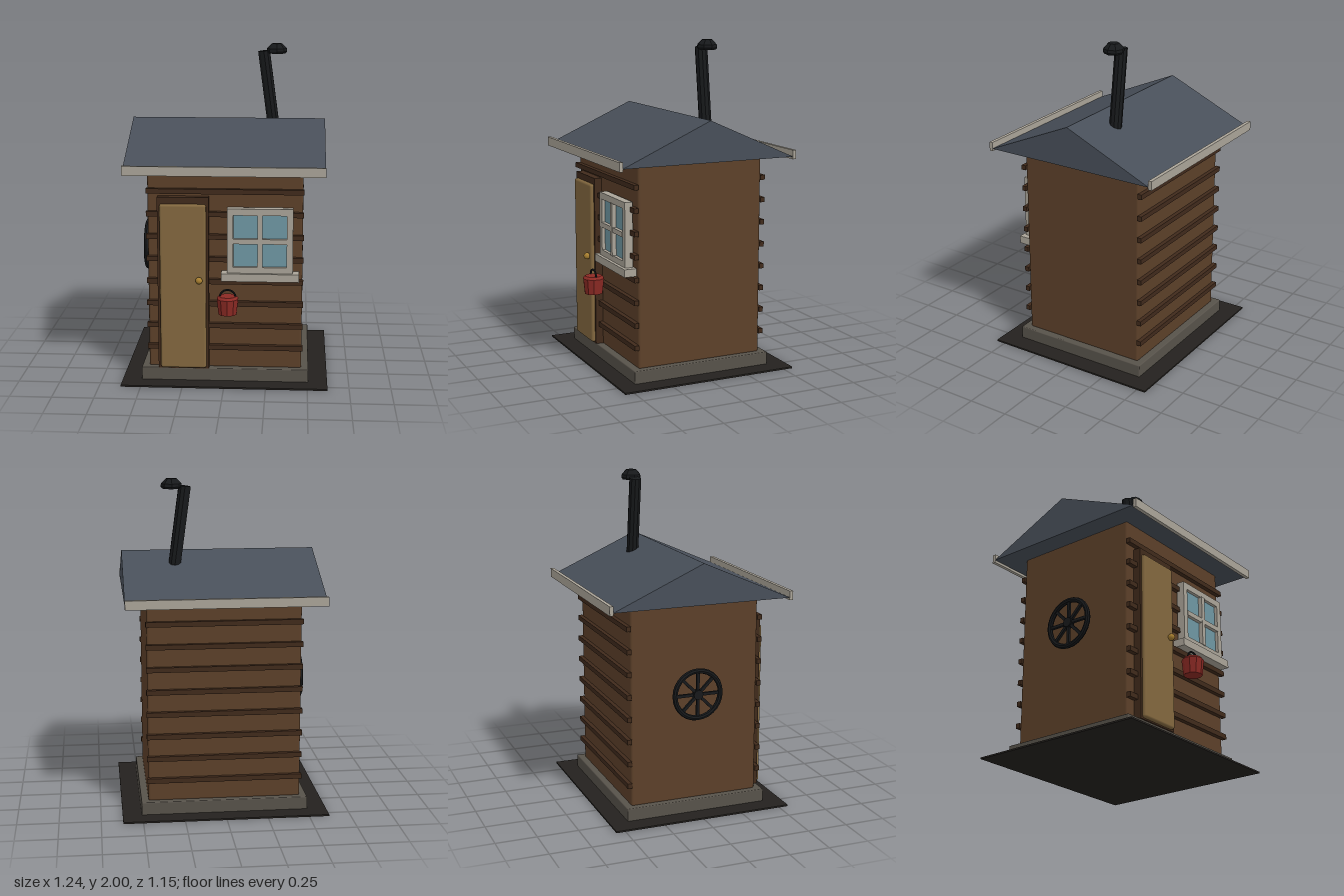
import * as THREE from 'three';
import { RoundedBoxGeometry } from 'three/addons/geometries/RoundedBoxGeometry.js';

const paint = (color, extra = {}) => {
  const m = new THREE.MeshStandardMaterial({ color });
  return Object.assign(m, extra);
};

export function createModel() {
  const hut = new THREE.Group();
  hut.name = 'hut';

  const wood = paint(0x5c4029), slatWood = paint(0x402a1b), doorWood = paint(0x83683f);
  const trim = paint(0xaaa498), stone = paint(0x57524a), soil = paint(0x24211e);
  const slate = paint(0x484f59), glass = paint(0x6f97a3), brass = paint(0xa87f30);
  const iron = paint(0x17191b, { flatShading: true });
  const red = paint(0x8c2a24, { flatShading: true, side: THREE.DoubleSide });

  const add = (name, geometry, material, x = 0, y = 0, z = 0, parent = hut) => {
    const mesh = new THREE.Mesh(geometry, material);
    mesh.name = name;
    mesh.position.set(x, y, z);
    parent.add(mesh);
    return mesh;
  };
  // Box given by its lower and upper corners, optionally with softened edges
  const block = (name, [x0, y0, z0], [x1, y1, z1], material, radius = 0, parent = hut) => {
    const size = [x1 - x0, y1 - y0, z1 - z0];
    const g = radius ? new RoundedBoxGeometry(...size, 2, radius) : new THREE.BoxGeometry(...size);
    return add(name, g, material, (x0 + x1) / 2, (y0 + y1) / 2, (z0 + z1) / 2, parent);
  };

  // Base and walls
  block('groundPlate', [-0.62, 0, -0.557], [0.62, 0.01, 0.557], soil);
  block('foundation', [-0.505, 0.005, -0.445], [0.505, 0.087, 0.445], stone, 0.006);
  block('walls', [-0.462, 0.08, -0.405], [0.462, 1.315, 0.402], wood, 0.014);

  // Horizontal slats on front and back
  for (let i = 0; i < 8; i++) {
    const y = 0.215 + i * 0.1373;
    for (const s of [1, -1]) {
      add('slat', new THREE.BoxGeometry(0.936, 0.03, 0.028), slatWood, 0, y, s * 0.416);
    }
  }

  // Gable roof running along x, with eave boards
  const gable = new THREE.Shape([
    new THREE.Vector2(-0.553, 1.31), new THREE.Vector2(0.553, 1.31), new THREE.Vector2(0, 1.555),
  ]);
  const roof = new THREE.ExtrudeGeometry(gable, { depth: 1.18, bevelEnabled: false });
  roof.translate(0, 0, -0.59).rotateY(Math.PI / 2);
  add('roof', roof, slate);
  for (const s of [1, -1]) {
    add('eaveBoard', new THREE.BoxGeometry(1.18, 0.055, 0.022), trim, 0, 1.322, s * 0.561);
  }

  // Door
  const door = new THREE.Group();
  door.name = 'door';
  hut.add(door);
  block('doorFrame', [-0.4, 0.087, 0.4], [-0.095, 1.145, 0.45], slatWood, 0, door);
  block('doorLeaf', [-0.385, 0.095, 0.43], [-0.11, 1.105, 0.472], doorWood, 0.014, door);
  add('doorKnob', new THREE.SphereGeometry(0.021, 12, 8), brass, -0.15, 0.648, 0.484, door);

  // Window with a pierced frame, crossbars and sill
  const win = new THREE.Group();
  win.name = 'window';
  hut.add(win);
  const rect = (S, w, h) => new S([[-w, -h], [w, -h], [w, h], [-w, h]].map(p => new THREE.Vector2(...p)));
  const frame = rect(THREE.Shape, 0.195, 0.197);
  frame.holes.push(rect(THREE.Path, 0.158, 0.157));
  const frameGeo = new THREE.ExtrudeGeometry(frame, { depth: 0.05, bevelEnabled: false });
  add('windowFrame', frameGeo, trim, 0.21, 0.885, 0.412, win);
  block('windowPane', [0.04, 0.715, 0.4], [0.38, 1.055, 0.442], glass, 0, win);
  block('uprightBar', [0.195, 0.725, 0.43], [0.225, 1.045, 0.468], trim, 0, win);
  block('crossBar', [0.05, 0.87, 0.43], [0.37, 0.9, 0.465], trim, 0, win);
  block('windowSill', [-0.02, 0.645, 0.405], [0.442, 0.692, 0.482], trim, 0, win);

  // Hanging bucket
  const bucket = new THREE.Group();
  bucket.name = 'bucket';
  bucket.position.set(0.022, 0.455, 0.51);
  hut.add(bucket);
  const profile = [[0, 0], [0.056, 0], [0.066, 0.095], [0.052, 0.11], [0, 0.108]];
  add('bucketBody', new THREE.LatheGeometry(profile.map(p => new THREE.Vector2(...p)), 10), red, 0, 0, 0, bucket);
  add('bucketHandle', new THREE.TorusGeometry(0.047, 0.006, 6, 14, Math.PI), iron, 0, 0.1, 0, bucket);

  // Leaning stove pipe with an offset cap
  const foot = new THREE.Vector3(0.285, 1.4, -0.125), top = new THREE.Vector3(0.21, 1.955, -0.125);
  const along = top.clone().sub(foot);
  const pipe = add('stovePipe', new THREE.CylinderGeometry(0.038, 0.038, along.length(), 10), iron);
  pipe.position.copy(foot).addScaledVector(along, 0.5);
  pipe.quaternion.setFromUnitVectors(new THREE.Vector3(0, 1, 0), along.normalize());
  const capProfile = [[0, 0], [0.055, 0], [0.063, 0.012], [0.061, 0.03], [0.032, 0.06], [0, 0.06]];
  add('pipeCap', new THREE.LatheGeometry(capProfile.map(p => new THREE.Vector2(...p)), 8), iron, 0.29, 1.94, -0.125);

  // Spoked wheel hung on the right wall
  const wheel = new THREE.Group();
  wheel.name = 'wheel';
  wheel.position.set(-0.505, 0.75, 0);
  wheel.rotation.y = Math.PI / 2;
  hut.add(wheel);
  add('wheelRim', new THREE.TorusGeometry(0.145, 0.016, 8, 28), iron, 0, 0, 0, wheel);
  add('wheelHub', new THREE.CylinderGeometry(0.03, 0.03, 0.034, 12), iron, 0, 0, 0, wheel).rotation.x = Math.PI / 2;
  for (let i = 0; i < 4; i++) {
    add('wheelSpokes', new THREE.BoxGeometry(0.28, 0.018, 0.016), iron, 0, 0, 0, wheel).rotation.z = i * Math.PI / 4;
  }

  return hut;
}
